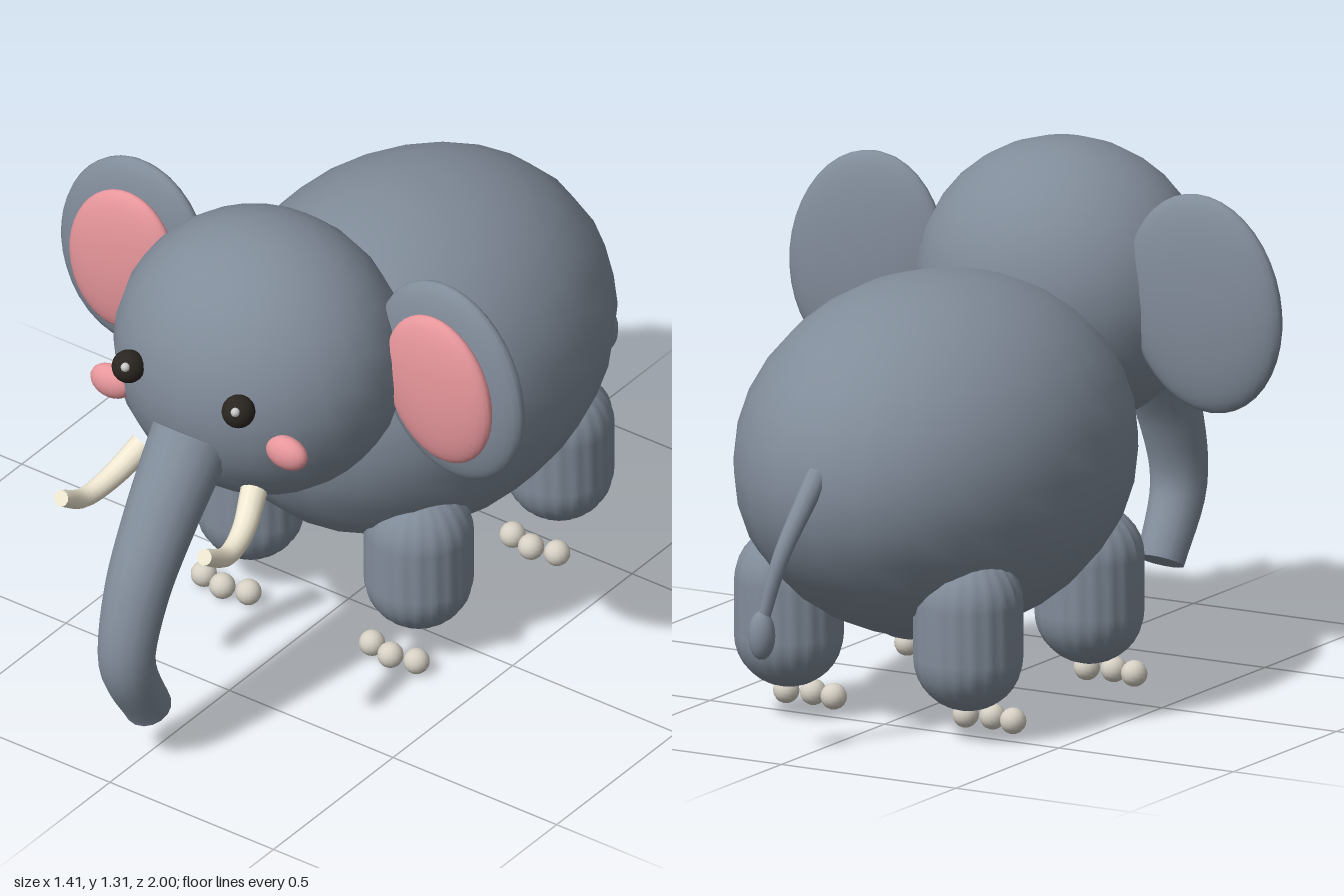
import * as THREE from 'three';

const mat = (color) => new THREE.MeshStandardMaterial({ color });
const skin = mat(0x818c9a);
const pink = mat(0xe8979c);
const ivory = mat(0xf0e8d2);
const nail = mat(0xd6d0c4);
const dark = mat(0x2a2520);
const white = mat(0xffffff);

// Sphere stretched to the given radii
function ellipsoid(name, material, pos, radii, w = 24, h = 16) {
  const geo = new THREE.SphereGeometry(1, w, h).scale(...radii);
  const mesh = new THREE.Mesh(geo, material);
  mesh.name = name;
  mesh.position.set(...pos);
  return mesh;
}

// Round tube along a curve, tapering from r0 to r1, closed at both ends
function taperedTube(name, material, points, r0, r1, segments = 24, sides = 16) {
  const group = new THREE.Group();
  group.name = name;
  const path = new THREE.CatmullRomCurve3(points.map((p) => new THREE.Vector3(...p)));
  const geo = new THREE.TubeGeometry(path, segments, 1, sides);
  const pos = geo.attributes.position;
  const v = new THREE.Vector3();
  for (let i = 0; i < pos.count; i++) {
    const t = Math.floor(i / (sides + 1)) / segments;
    const c = path.getPointAt(t);
    v.fromBufferAttribute(pos, i).sub(c).multiplyScalar(r0 + (r1 - r0) * t).add(c);
    pos.setXYZ(i, v.x, v.y, v.z);
  }
  group.add(new THREE.Mesh(geo, material));
  for (const [t, r, sign] of [[0, r0, -1], [1, r1, 1]]) {
    const cap = new THREE.Mesh(new THREE.CircleGeometry(r, sides), material);
    const dir = path.getTangentAt(t).multiplyScalar(sign);
    cap.quaternion.setFromUnitVectors(new THREE.Vector3(0, 0, 1), dir);
    cap.position.copy(path.getPointAt(t));
    group.add(cap);
  }
  return group;
}

// Stubby capsule leg with faint vertical folds
function legGeometry() {
  const geo = new THREE.CapsuleGeometry(0.135, 0.135, 8, 80);
  const pos = geo.attributes.position;
  for (let i = 0; i < pos.count; i++) {
    const x = pos.getX(i), z = pos.getZ(i);
    const k = 1 + 0.012 * Math.cos(20 * Math.atan2(z, x));
    pos.setXYZ(i, x * k, pos.getY(i), z * k);
  }
  geo.computeVertexNormals();
  return geo;
}

export function createModel() {
  const model = new THREE.Group();
  model.name = 'elephant';

  model.add(ellipsoid('body', skin, [0, 0.64, -0.25], [0.465, 0.45, 0.6]));
  model.add(ellipsoid('head', skin, [0, 0.947, 0.37], [0.375, 0.363, 0.343]));

  model.add(taperedTube('trunk', skin, [
    [0, 0.845, 0.655], [0, 0.67, 0.79], [0, 0.5, 0.89], [0, 0.32, 0.928], [0, 0.14, 0.84],
  ], 0.105, 0.06));

  // Tail with tuft
  model.add(taperedTube('tail', skin, [
    [0, 0.72, -0.8], [0.01, 0.63, -0.875], [0.04, 0.5, -0.94], [0.08, 0.34, -0.957],
  ], 0.03, 0.015, 16, 10));
  model.add(ellipsoid('tailTuft', skin, [0.08, 0.31, -0.96], [0.034, 0.062, 0.034], 16, 12));

  const legGeo = legGeometry();
  for (const s of [1, -1]) {
    const side = s > 0 ? 'left' : 'right';

    // Ear and its pink inside, leaning in at the top
    const ear = new THREE.Group();
    ear.name = side + 'Ear';
    ear.position.set(s * 0.483, 0.975, 0.235);
    ear.rotation.z = s * 0.2;
    ear.add(ellipsoid('outerEar', skin, [0, 0, 0], [0.219, 0.277, 0.057], 32, 20));
    ear.add(ellipsoid('innerEar', pink, [0, 0, 0.05], [0.158, 0.206, 0.045], 32, 20));
    model.add(ear);

    // Face
    model.add(ellipsoid(side + 'Eye', dark, [s * 0.168, 1.005, 0.692], [0.042, 0.042, 0.042], 20, 14));
    model.add(ellipsoid(side + 'EyeGlint', white, [s * 0.168 + 0.013, 1.024, 0.723], [0.012, 0.012, 0.012], 10, 8));
    model.add(ellipsoid(side + 'Cheek', pink, [s * 0.268, 0.886, 0.627], [0.06, 0.045, 0.033], 20, 14));
    model.add(taperedTube(side + 'Tusk', ivory, [
      [s * 0.17, 0.735, 0.63], [s * 0.202, 0.675, 0.72], [s * 0.218, 0.658, 0.81], [s * 0.219, 0.707, 0.905],
    ], 0.034, 0.021, 16, 12));

    // Legs and toes
    for (const [place, z] of [['Front', 0.06], ['Back', -0.528]]) {
      const leg = new THREE.Mesh(legGeo, skin);
      leg.name = side + place + 'Leg';
      leg.position.set(s * 0.257, 0.276, z);
      model.add(leg);
      for (const i of [-1, 0, 1]) {
        model.add(ellipsoid(side + place + 'Toe', nail,
          [s * 0.257 + i * 0.068, 0.033, z + (i ? 0.102 : 0.118)], [0.033, 0.033, 0.033], 14, 10));
      }
    }
  }
  return model;
}
